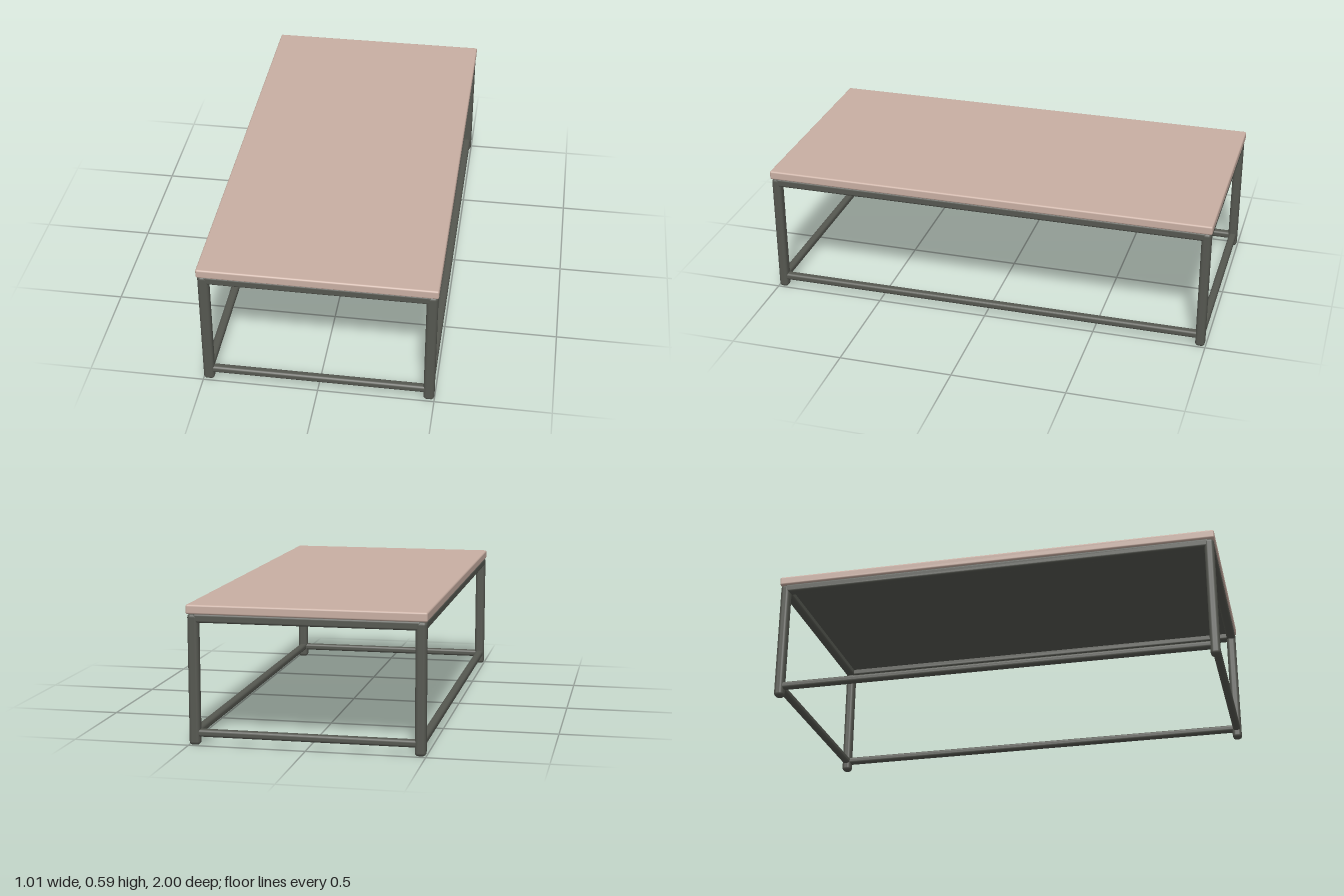
import * as THREE from 'three';
import { RoundedBoxGeometry } from 'three/addons/geometries/RoundedBoxGeometry.js';

export function createModel() {
  const model = new THREE.Group();
  model.name = 'coffeeTable';
  const wood = new THREE.MeshStandardMaterial({ color: 0xc8aea2 });
  wood.name = 'pale wood';
  const metal = new THREE.MeshStandardMaterial({ color: 0x555750 });
  metal.name = 'dark metal';

  // Rounded bar or slab, given its size and centre
  function bar(name, material, [w, h, d], [x, y, z], radius) {
    const mesh = new THREE.Mesh(new RoundedBoxGeometry(w, h, d, 4, radius), material);
    mesh.name = name;
    mesh.position.set(x, y, z);
    model.add(mesh);
  }

  // Table top
  bar('tableTop', wood, [1.006, 0.04, 2], [0, 0.576, 0], 0.008);

  // Dark panel under the top
  const panel = new THREE.Mesh(new THREE.BoxGeometry(0.96, 0.008, 1.95), metal);
  panel.name = 'undersidePanel';
  panel.position.y = 0.552;
  model.add(panel);

  // Legs with rounded feet
  const legX = 0.476, legZ = 0.975;
  for (const sx of [-1, 1]) {
    for (const sz of [-1, 1]) {
      bar('leg', metal, [0.047, 0.555, 0.042], [sx * legX, 0.2795, sz * legZ], 0.015);
    }
  }

  // Upper and lower rails on all four sides
  for (const s of [-1, 1]) {
    bar('upperEndRail', metal, [0.95, 0.038, 0.04], [0, 0.539, s * legZ], 0.01);
    bar('upperSideRail', metal, [0.045, 0.038, 1.95], [s * legX, 0.539, 0], 0.01);
    bar('lowerEndRail', metal, [0.94, 0.032, 0.034], [0, 0.053, s * legZ], 0.012);
    bar('lowerSideRail', metal, [0.036, 0.032, 1.94], [s * legX, 0.053, 0], 0.012);
  }
  return model;
}
